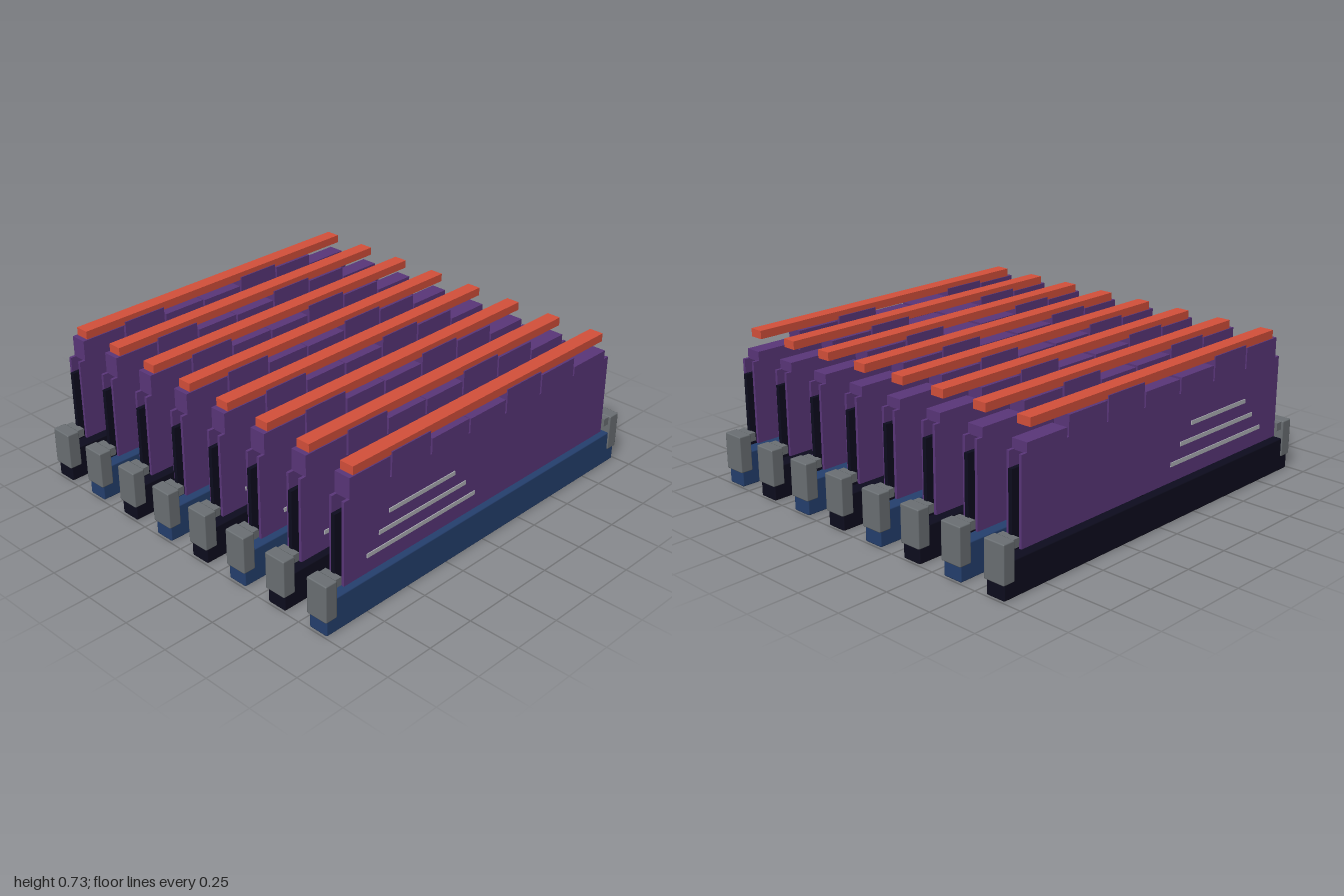
import * as THREE from 'three';
import { RoundedBoxGeometry } from 'three/addons/geometries/RoundedBoxGeometry.js';

const material = (name, color) => {
  const m = new THREE.MeshStandardMaterial({ color });
  m.name = name;
  return m;
};

// Box given by its [min, max] range on each axis; r > 0 softens the edges
function box(parent, name, mat, [x0, x1], [y0, y1], [z0, z1], r = 0) {
  const size = [x1 - x0, y1 - y0, z1 - z0];
  const geo = r ? new RoundedBoxGeometry(...size, 1, r) : new THREE.BoxGeometry(...size);
  const mesh = new THREE.Mesh(geo, mat);
  mesh.name = name;
  mesh.position.set((x0 + x1) / 2, (y0 + y1) / 2, (z0 + z1) / 2);
  parent.add(mesh);
}

// Range on the positive or negative side of an axis
const sided = (s, a, b) => (s > 0 ? [a, b] : [-b, -a]);

export function createModel() {
  const black = material('black', 0x0d0c1e);
  const blue = material('navy blue', 0x25406f);
  const purple = material('purple', 0x5a367a);
  const red = material('orange red', 0xd5503b);
  const grey = material('latch grey', 0x6b7074);
  const silver = material('silver', 0xb0b2b8);

  // Top heights of the crown blocks, from front to back
  const crownTops = [0.69, 0.705, 0.665, 0.66, 0.705, 0.685, 0.635];
  // Stripes: height, back end, front end
  const stripes = [[0.435, 0.21, 0.62], [0.355, 0.135, 0.68], [0.275, 0.07, 0.75]];

  const model = new THREE.Group();
  model.name = 'memoryBank';

  for (let i = 0; i < 8; i++) {
    const stick = new THREE.Group();
    stick.name = 'memoryStick' + (i + 1);
    stick.position.x = (i - 3.5) * 0.2443;
    model.add(stick);

    // Socket, alternating black and blue
    box(stick, 'slot', i % 2 ? blue : black, [-0.05, 0.05], [0, 0.165], [-0.99, 0.99], 0.006);

    // Circuit board with its key
    box(stick, 'board', black, [-0.01, 0.01], [0.18, 0.53], [-0.905, 0.905]);
    box(stick, 'boardKey', black, [-0.01, 0.01], [0.164, 0.181], [-0.105, -0.07]);

    for (const s of [1, -1]) {
      // Chips and heat spreader plates
      for (let c = 0; c < 8; c++) {
        const z = (c - 3.5) * 0.21;
        box(stick, 'chip', black, sided(s, 0.01, 0.022), [0.33, 0.47], [z - 0.075, z + 0.075]);
      }
      box(stick, 'lowerComponents', black, sided(s, 0.01, 0.021), [0.25, 0.31], [-0.8, 0.8]);
      box(stick, 'heatSpreader', purple, sided(s, 0.027, 0.041), [0.19, 0.592], [-0.883, 0.883]);
      for (const [y, z0, z1] of stripes) {
        box(stick, 'stripe', silver, sided(s, 0.04, 0.045), [y - 0.01, y + 0.01], [z0, z1]);
      }

      // End latches
      box(stick, 'latch', grey, [-0.056, 0.056], [0.072, 0.253], sided(s, 0.935, 1), 0.006);
      box(stick, 'latchHook', grey, [-0.045, 0.045], [0.21, 0.25], sided(s, 0.9, 0.94));
    }

    // Stepped crown across both plates
    crownTops.forEach((top, k) => {
      const z = 0.735 - k * 0.245;
      box(stick, 'crownBlock', purple, [-0.041, 0.041], [0.588, top], [z - 0.117, z + 0.117]);
    });

    // Light bar
    box(stick, 'lightBar', red, [-0.035, 0.035], [0.69, 0.73], [-0.828, 0.828]);
  }
  return model;
}
